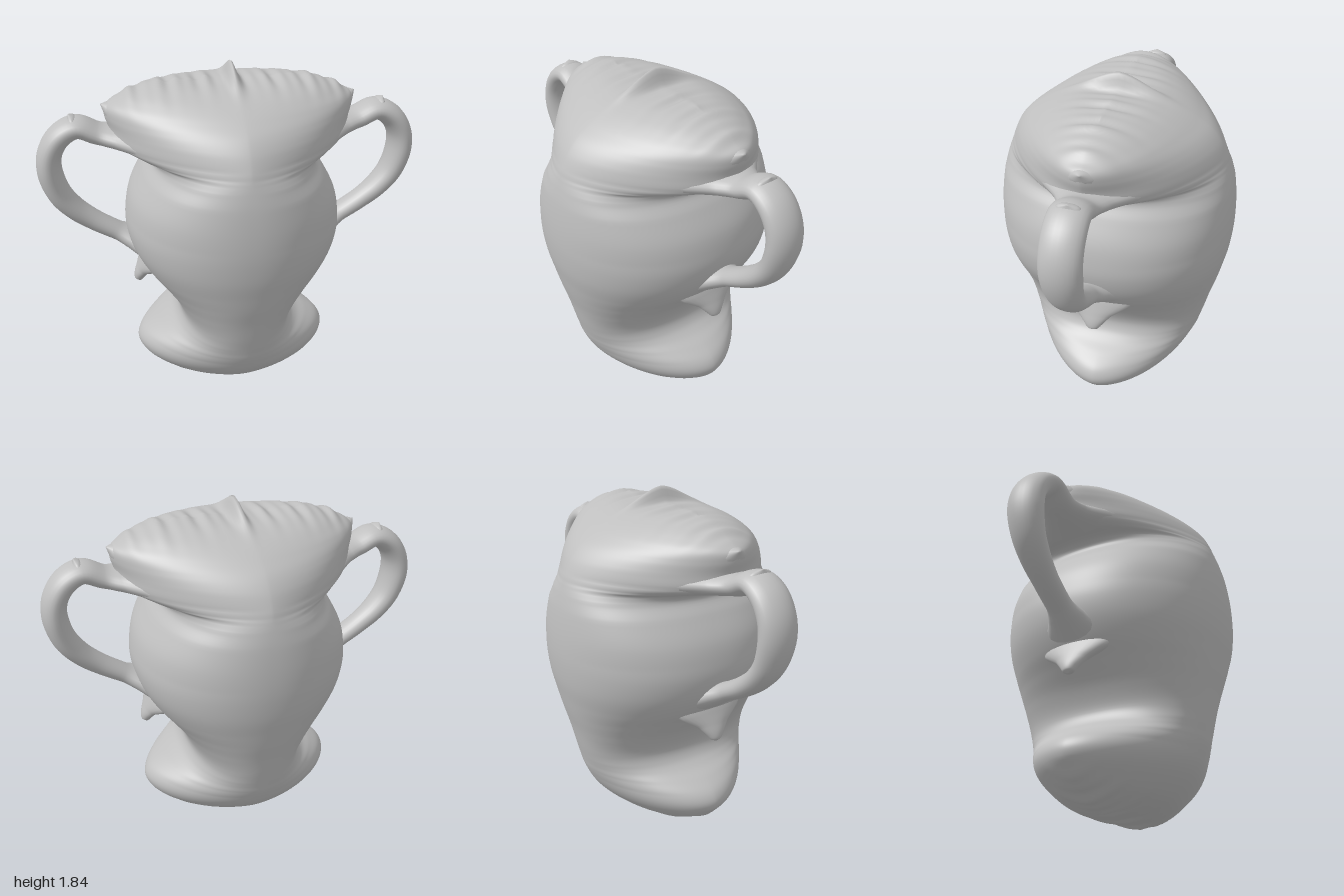
import * as THREE from 'three';
import { mergeVertices } from 'three/addons/utils/BufferGeometryUtils.js';

// Skin a list of closed rings (each the same number of points) smoothly
function skin(rings) {
  const n = rings[0].length, pos = [], idx = [];
  rings.forEach(r => r.forEach(p => pos.push(p.x, p.y, p.z)));
  for (let i = 0; i < rings.length - 1; i++) {
    for (let j = 0; j < n; j++) {
      const k = (j + 1) % n;
      const a = i * n + j, b = i * n + k, c = a + n, d = b + n;
      idx.push(a, c, b, b, c, d);
    }
  }
  let g = new THREE.BufferGeometry();
  g.setAttribute('position', new THREE.Float32BufferAttribute(pos, 3));
  g.setIndex(idx);
  g = mergeVertices(g, 1e-5);
  g.computeVertexNormals();
  return g;
}

// Sweep an ellipse along a path in the xy plane; points are [x, y, thickness, depth]
function sweep(points, steps, sides = 24) {
  const path = new THREE.CatmullRomCurve3(points.map(p => new THREE.Vector3(p[0], p[1], 0)));
  const radii = new THREE.CatmullRomCurve3(points.map(p => new THREE.Vector3(p[2], p[3], 0)));
  const rings = [];
  for (let i = 0; i <= steps; i++) {
    const t = i / steps, c = path.getPoint(t), r = radii.getPoint(t);
    const tan = path.getTangent(t);
    const ring = [];
    for (let j = 0; j < sides; j++) {
      const a = j / sides * Math.PI * 2, s = r.x * Math.cos(a);
      ring.push(new THREE.Vector3(c.x + tan.y * s, c.y - tan.x * s, r.y * Math.sin(a)));
    }
    rings.push(ring);
  }
  return skin(rings);
}

// Body levels: [y, half width, half depth, roundness of the section]
const LEVELS = [
  [0.015, 0.22, 0, 1.8], [0.03, 0.29, 0.13, 1.8], [0.075, 0.39, 0.25, 1.75],
  [0.13, 0.47, 0.33, 1.7], [0.20, 0.535, 0.40, 1.7], [0.25, 0.545, 0.435, 1.7],
  [0.30, 0.52, 0.46, 1.7], [0.35, 0.45, 0.48, 1.8], [0.39, 0.375, 0.49, 2.0],
  [0.43, 0.33, 0.50, 2.2], [0.49, 0.31, 0.515, 2.3], [0.60, 0.35, 0.54, 2.3],
  [0.71, 0.43, 0.57, 2.15], [0.80, 0.50, 0.59, 2.1], [0.90, 0.55, 0.61, 2.1],
  [1.00, 0.57, 0.62, 2.1], [1.08, 0.565, 0.622, 2.1], [1.18, 0.54, 0.617, 2.15],
  [1.30, 0.475, 0.602, 2.2], [1.375, 0.43, 0.585, 2.1], [1.41, 0.46, 0.575, 1.85],
  [1.435, 0.56, 0.567, 1.6], [1.47, 0.62, 0.555, 1.5], [1.54, 0.625, 0.52, 1.55],
  [1.60, 0.64, 0.47, 1.55], [1.65, 0.635, 0.40, 1.6], [1.69, 0.575, 0.33, 1.7],
  [1.72, 0.51, 0.26, 1.8], [1.745, 0.42, 0.17, 1.9], [1.76, 0.32, 0, 2],
];

function bodyGeometry() {
  const shape = new THREE.CatmullRomCurve3(LEVELS.map(l => new THREE.Vector3(l[1], l[0], l[2])));
  const steps = (LEVELS.length - 1) * 6, sides = 192, rings = [];
  for (let i = 0; i <= steps; i++) {
    const t = i / steps, q = shape.getPoint(t);
    const f = t * (LEVELS.length - 1), k = Math.min(Math.floor(f), LEVELS.length - 2);
    const e = 2 / THREE.MathUtils.lerp(LEVELS[k][3], LEVELS[k + 1][3], f - k);
    const ring = [];
    for (let j = 0; j < sides; j++) {
      const a = j / sides * Math.PI * 2, c = Math.cos(a), s = Math.sin(a);
      const x = q.x * Math.sign(c) * Math.abs(c) ** e;
      const z = Math.max(q.z, 0) * Math.sign(s) * Math.abs(s) ** e;
      // Gathered wrinkles along the crown and under the foot, with a peak at the middle
      const fade = Math.exp(-((z / 0.16) ** 2));
      const top = THREE.MathUtils.smoothstep(q.y, 1.6, 1.74);
      const low = 1 - THREE.MathUtils.smoothstep(q.y, 0.03, 0.25);
      const ripple = 0.006 * Math.sin(47 * x + 1) + 0.005 * Math.sin(83 * x);
      const peak = 0.075 * Math.exp(-((x / 0.026) ** 2));
      const y = q.y + fade * (top * (ripple + peak) + low * ripple);
      ring.push(new THREE.Vector3(x, y, z));
    }
    rings.push(ring);
  }
  return skin(rings);
}

export function createModel() {
  const model = new THREE.Group();
  model.name = 'twoHandledVase';
  const clay = new THREE.MeshStandardMaterial({ color: 0xbfbfbf });
  clay.name = 'greyClay';
  const add = (parent, name, geometry) => {
    const mesh = new THREE.Mesh(geometry, clay);
    mesh.name = name;
    parent.add(mesh);
    return mesh;
  };

  add(model, 'body', bodyGeometry());

  // Handle with flared roots
  const handle = sweep([
    [0.50, 1.485, 0.07, 0.24], [0.60, 1.49, 0.055, 0.14], [0.68, 1.505, 0.052, 0.10],
    [0.78, 1.545, 0.056, 0.098], [0.865, 1.505, 0.06, 0.10], [0.922, 1.42, 0.062, 0.10],
    [0.935, 1.32, 0.064, 0.10], [0.90, 1.19, 0.062, 0.09], [0.83, 1.095, 0.057, 0.08],
    [0.74, 1.02, 0.052, 0.07], [0.63, 0.95, 0.048, 0.07], [0.55, 0.905, 0.055, 0.11],
    [0.45, 0.85, 0.07, 0.2],
  ], 72);
  // Drooping point below the handle
  const drip = sweep([
    [0.40, 0.84, 0.08, 0.26], [0.46, 0.76, 0.05, 0.18], [0.495, 0.70, 0.036, 0.09],
    [0.515, 0.655, 0.03, 0.05], [0.523, 0.63, 0.022, 0.03], [0.527, 0.617, 0, 0],
  ], 30);
  // Small pointed bumps on the rim corner and on top of the handle
  const rimBump = sweep([
    [0.57, 1.60, 0.06, 0.12], [0.62, 1.635, 0.035, 0.06], [0.655, 1.655, 0, 0],
  ], 12, 16);
  const handleBump = sweep([
    [0.79, 1.56, 0.04, 0.08], [0.805, 1.595, 0.02, 0.05], [0.815, 1.613, 0, 0],
  ], 12, 16);

  ['left', 'right'].forEach((side, i) => {
    const group = new THREE.Group();
    group.name = side + 'Side';
    group.rotation.y = i * Math.PI;
    add(group, side + 'Handle', handle);
    add(group, side + 'Drip', drip);
    add(group, side + 'RimBump', rimBump);
    add(group, side + 'HandleBump', handleBump);
    model.add(group);
  });
  return model;
}
